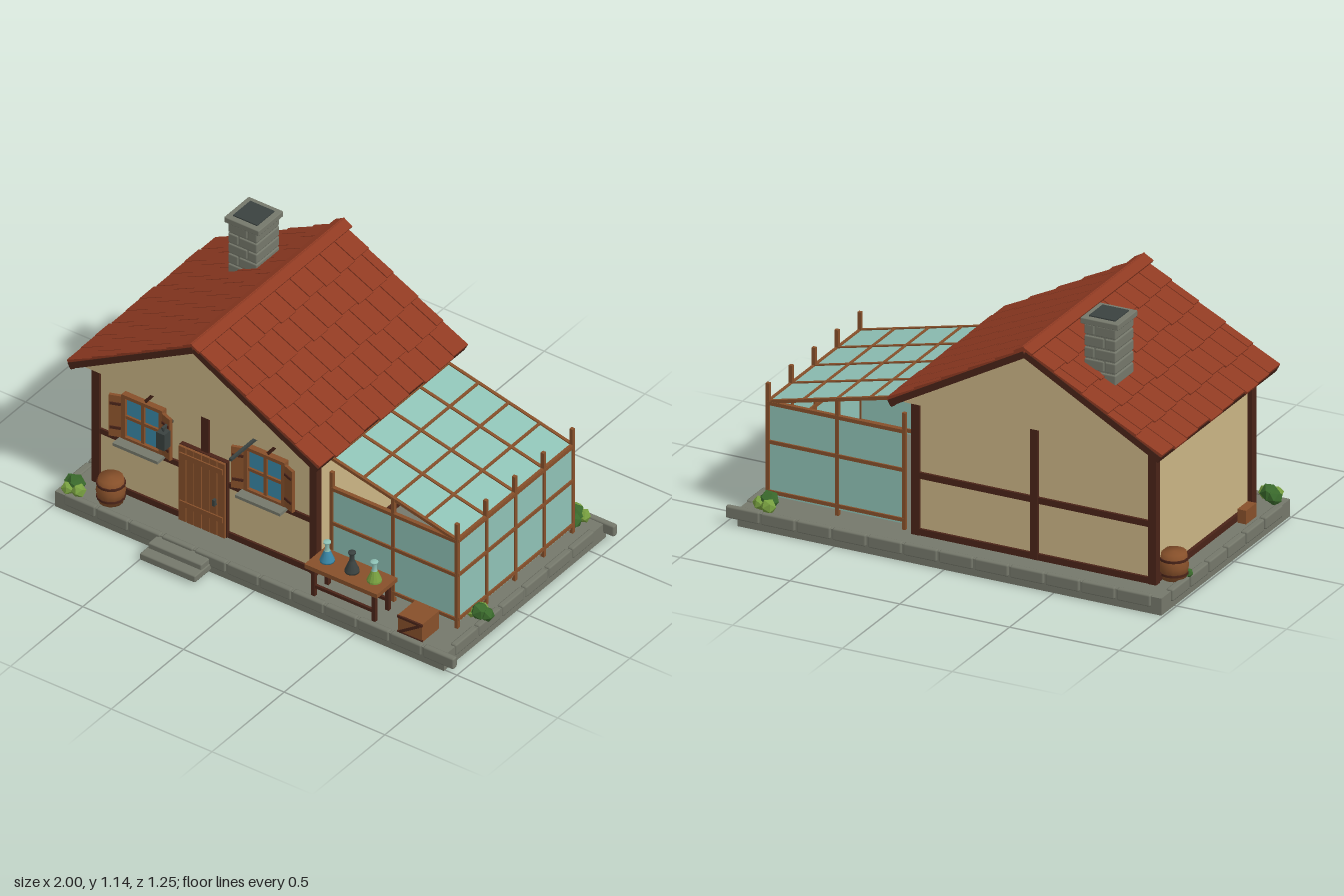
import * as THREE from 'three';
import { RoundedBoxGeometry } from 'three/addons/geometries/RoundedBoxGeometry.js';

const mat = (name, color, opts = {}) => {
  const m = new THREE.MeshStandardMaterial({ color, ...opts });
  m.name = name;
  return m;
};

export function createModel() {
  const tile = mat('roofTile', 0x8f3a22);
  const timber = mat('darkTimber', 0x4a2418);
  const wood = mat('wood', 0x87502a);
  const plaster = mat('plaster', 0xcbb585);
  const stone = mat('stone', 0x75786b);
  const iron = mat('darkIron', 0x3a4240);
  const glass = mat('glass', 0x8fc2b6, { side: THREE.DoubleSide });
  const blue = mat('blue', 0x3a88a8);
  const darkGreen = mat('darkGreen', 0x3a6a2c, { flatShading: true });
  const lightGreen = mat('lightGreen', 0x78a040, { flatShading: true });

  const model = new THREE.Group();
  model.name = 'cottage';
  const group = (name, parent = model) => {
    const g = new THREE.Group();
    g.name = name;
    parent.add(g);
    return g;
  };
  const add = (parent, name, geo, m, x = 0, y = 0, z = 0) => {
    const mesh = new THREE.Mesh(geo, m);
    mesh.name = name;
    mesh.position.set(x, y, z);
    parent.add(mesh);
    return mesh;
  };
  // Box given by its limits; r > 0 softens the edges
  const box = (p, name, m, x0, x1, y0, y1, z0, z1, r = 0) => {
    const s = [x1 - x0, y1 - y0, z1 - z0];
    const geo = r ? new RoundedBoxGeometry(...s, 1, r) : new THREE.BoxGeometry(...s);
    return add(p, name, geo, m, (x0 + x1) / 2, (y0 + y1) / 2, (z0 + z1) / 2);
  };
  // Square bar between two points in an xy plane
  const bar = (p, name, m, x0, y0, x1, y1, z, t, d = t) => {
    const b = add(p, name, new THREE.BoxGeometry(Math.hypot(x1 - x0, y1 - y0), t, d), m, (x0 + x1) / 2, (y0 + y1) / 2, z);
    b.rotation.z = Math.atan2(y1 - y0, x1 - x0);
    return b;
  };

  // Stone base with a border of blocks and two steps
  const base = group('base');
  box(base, 'slab', stone, -0.99, 0.94, 0, 0.075, -0.615, 0.508);
  for (let i = 0; i < 12; i++) {
    const x = -0.943 + i * 0.162;
    box(base, 'frontBlock', stone, x, x + 0.153, 0.03, 0.083, 0.485, 0.515, 0.008);
    box(base, 'backBlock', stone, x, x + 0.153, 0.03, 0.083, -0.625, -0.597, 0.008);
  }
  for (let i = 0; i < 6; i++) {
    const z = 0.43 - i * 0.162;
    box(base, 'rightBlock', stone, 0.915, 0.945, 0.03, 0.083, z - 0.152, z, 0.008);
    box(base, 'leftBlock', stone, -1, -0.967, 0.03, 0.083, z - 0.152, z, 0.008);
  }
  box(base, 'lowerStep', stone, -0.49, -0.215, 0.012, 0.045, 0.49, 0.62, 0.006);
  box(base, 'upperStep', stone, -0.485, -0.22, 0.03, 0.07, 0.47, 0.57, 0.006);

  // House walls and gable
  const RX = -0.353, house = group('house');
  box(house, 'walls', plaster, -0.89, 0.185, 0.07, 0.685, -0.495, 0.35);
  const tri = new THREE.Shape([[-0.56, 0.68], [0.56, 0.68], [0, 1]].map(p => new THREE.Vector2(p[0], p[1])));
  add(house, 'gable', new THREE.ExtrudeGeometry(tri, { depth: 0.99, bevelEnabled: false }), plaster, RX, 0, -0.57);

  // Timber frame
  const frame = group('timberFrame');
  for (const x of [-0.893, 0.187]) for (const z of [0.346, -0.492])
    box(frame, 'cornerPost', timber, x - 0.018, x + 0.018, 0.075, 0.68, z - 0.018, z + 0.018);
  box(frame, 'frontMiddlePost', timber, RX - 0.018, RX + 0.018, 0.45, 0.68, 0.34, 0.36);
  box(frame, 'backMiddlePost', timber, RX - 0.018, RX + 0.018, 0.075, 0.68, -0.508, -0.49);
  for (const [x0, x1] of [[-0.89, -0.46], [-0.24, 0.185]]) {
    box(frame, 'frontRail', timber, x0, x1, 0.325, 0.35, 0.34, 0.36);
    box(frame, 'frontSill', timber, x0, x1, 0.075, 0.103, 0.34, 0.36);
  }
  box(frame, 'frontTopBeam', timber, -0.89, 0.185, 0.662, 0.682, 0.34, 0.36);
  for (const [y, h] of [[0.075, 0.028], [0.325, 0.027], [0.662, 0.02]])
    box(frame, 'backBeam', timber, -0.89, 0.185, y, y + h, -0.507, -0.49);
  for (const x of [-0.893, 0.188])
    box(frame, 'sideSill', timber, x - 0.012, x + 0.012, 0.075, 0.103, -0.49, 0.35);

  // Roof: two slopes of staggered tiles
  const A = Math.atan(0.34 / 0.615), L = 0.703, ROW = L / 5;
  const roof = group('roof');
  roof.position.set(RX, 1.013, -0.075);
  for (const turn of [0, Math.PI]) {
    const side = group('roofSide', roof);
    side.rotation.y = turn;
    const slope = group('slope', side);
    slope.rotation.z = -A;
    box(slope, 'roofBoards', timber, 0, L - 0.005, -0.01, 0.01, -0.51, 0.51);
    for (const z of [-0.512, 0.512])
      box(slope, 'bargeBoard', timber, 0, L, -0.014, 0.014, z - 0.006, z + 0.006);
    box(slope, 'fascia', timber, L - 0.018, L, -0.018, 0.01, -0.515, 0.515);
    for (let r = 0; r < 5; r++) {
      const edges = [-0.517];
      for (let k = 0; k <= 10; k++) {
        const e = -0.517 + k * 0.1034 + (r % 2) * 0.05;
        if (e > -0.5 && e < 0.5) edges.push(e);
      }
      edges.push(0.517);
      for (let k = 0; k + 1 < edges.length; k++) {
        const jut = ((k * 7 + r * 3) % 3) * 0.005;
        const t = box(slope, 'tile', tile, r * ROW - 0.004, (r + 1) * ROW + jut, 0.011, 0.023,
          edges[k] + 0.0025, edges[k + 1] - 0.0025);
        t.rotation.z = 0.05;
        t.rotation.z *= -1;
        t.rotation.z = Math.abs(t.rotation.z);
      }
    }
    const cap = box(slope, 'ridgeTile', tile, -0.022, 0.03, 0.022, 0.034, -0.53, 0.53);
    cap.position.z = 0;
  }

  // Chimney of stone courses
  const chimney = group('chimney');
  chimney.position.set(-0.597, 0, -0.32);
  box(chimney, 'core', stone, -0.066, 0.066, 0.8, 1.11, -0.074, 0.074);
  for (let i = 0; i < 6; i++) {
    const y = 0.81 + i * 0.051, s = i % 2 ? 0.025 : -0.02;
    for (const [x0, x1] of [[-0.072, s - 0.002], [s + 0.002, 0.072]])
      box(chimney, 'course', stone, x0, x1, y, y + 0.046, -0.08, 0.08, 0.006);
  }
  box(chimney, 'cap', stone, -0.086, 0.086, 1.11, 1.137, -0.086, 0.086, 0.004);
  box(chimney, 'flue', iron, -0.06, 0.06, 1.13, 1.142, -0.06, 0.06);

  // Plank door
  const door = group('door');
  box(door, 'doorBack', timber, -0.47, -0.236, 0.08, 0.455, 0.35, 0.37);
  for (let i = 0; i < 6; i++) {
    const x = -0.467 + i * 0.0385;
    box(door, 'plank', wood, x, x + 0.035, 0.083, 0.452, 0.36, 0.382);
  }
  for (const y of [0.16, 0.4]) box(door, 'crossBoard', wood, -0.46, -0.246, y, y + 0.025, 0.375, 0.388);
  box(door, 'handle', iron, -0.29, -0.278, 0.235, 0.265, 0.38, 0.398);

  // Windows with shutters and sills
  for (const cx of [-0.653, -0.045]) {
    const w = group('window');
    w.position.set(cx, 0.472, 0.35);
    box(w, 'pane', blue, -0.095, 0.095, -0.105, 0.105, 0, 0.012);
    for (const s of [-1, 1]) {
      box(w, 'frameSide', wood, s * 0.093 - 0.009, s * 0.093 + 0.009, -0.11, 0.11, 0, 0.028);
      box(w, 'frameRail', wood, -0.1, 0.1, s * 0.104 - 0.008, s * 0.104 + 0.008, 0, 0.028);
      const shutter = group('shutter', w);
      shutter.position.set(s * 0.104, 0, 0.014);
      shutter.rotation.y = -s * 0.35;
      const a = Math.min(0, s * 0.055), b = a + 0.055;
      box(shutter, 'board', wood, a, b, -0.105, 0.1, 0, 0.014);
      for (const y of [-0.065, 0.055]) box(shutter, 'batten', timber, a + 0.004, b - 0.004, y, y + 0.012, 0, 0.019);
    }
    box(w, 'mullion', wood, -0.007, 0.007, -0.1, 0.1, 0, 0.022);
    box(w, 'transom', wood, -0.09, 0.09, -0.007, 0.007, 0, 0.022);
    box(w, 'sill', stone, -0.112, 0.112, -0.122, -0.108, 0, 0.075);
    bar(w, 'brace', timber, 0.01, 0.115, 0.068, 0.19, 0.012, 0.014);
  }

  // Wall lantern and sign rod
  const lantern = group('lantern');
  box(lantern, 'bracket', iron, -0.526, -0.514, 0.53, 0.54, 0.35, 0.42);
  box(lantern, 'lanternBody', iron, -0.54, -0.5, 0.44, 0.52, 0.392, 0.435);
  box(lantern, 'hook', iron, -0.524, -0.516, 0.515, 0.535, 0.408, 0.416);
  box(model, 'signRod', iron, -0.107, -0.095, 0.622, 0.634, 0.35, 0.535);

  // Greenhouse
  const gh = group('greenhouse');
  const X0 = 0.25, X1 = 0.87, ZF = 0.318, ZB = -0.48;
  const roofY = x => 0.66 - (x - 0.24) * 0.235;
  for (const z of [ZF, ZB]) {
    box(gh, 'endGlass', glass, X0, X1, 0.1, 0.51, z - 0.002, z + 0.002);
    for (const y of [0.118, 0.338, 0.508]) box(gh, 'endRail', wood, X0, X1, y - 0.008, y + 0.008, z - 0.009, z + 0.009);
    for (const x of [X0, 0.555]) box(gh, 'endPost', wood, x - 0.008, x + 0.008, 0.07, 0.59, z - 0.008, z + 0.008);
  }
  box(gh, 'sideGlass', glass, X1 - 0.002, X1 + 0.002, 0.1, 0.51, ZB, ZF);
  for (const y of [0.118, 0.338, 0.508]) box(gh, 'sideRail', wood, X1 - 0.009, X1 + 0.009, y - 0.008, y + 0.008, ZB, ZF);
  for (let i = 0; i < 5; i++) {
    const z = ZF + (ZB - ZF) * i / 4;
    box(gh, 'sidePost', wood, X1 - 0.008, X1 + 0.008, 0.07, 0.595, z - 0.008, z + 0.008);
    bar(gh, 'rafter', wood, 0.2, roofY(0.2), X1, roofY(X1), z, 0.014);
  }
  bar(gh, 'roofGlass', glass, 0.2, roofY(0.2), X1, roofY(X1), (ZF + ZB) / 2, 0.004, ZF - ZB);
  for (const x of [0.255, 0.405, 0.555, 0.71, X1]) box(gh, 'purlin', wood, x - 0.006, x + 0.006, roofY(x) - 0.007, roofY(x) + 0.007, ZB, ZF);

  // Table with three flasks
  const table = group('table');
  box(table, 'tableTop', wood, 0.24, 0.6, 0.21, 0.23, 0.355, 0.497);
  for (const x of [0.262, 0.562]) for (const z of [0.37, 0.465])
    box(table, 'tableLeg', timber, x, x + 0.018, 0.075, 0.21, z, z + 0.018);
  for (const z of [0.372, 0.467]) box(table, 'stretcher', timber, 0.27, 0.57, 0.115, 0.13, z, z + 0.012);
  const v = pts => pts.map(p => new THREE.Vector2(p[0], p[1]));
  const flaskBody = new THREE.LatheGeometry(v([[0, 0], [0.031, 0], [0.031, 0.008], [0.013, 0.052]]), 12);
  const flaskNeck = new THREE.LatheGeometry(v([[0.013, 0.052], [0.01, 0.06], [0.01, 0.088], [0.016, 0.09], [0.016, 0.097], [0, 0.097]]), 12);
  [[0.302, blue], [0.425, iron], [0.536, lightGreen]].forEach(([x, m]) => {
    const f = group('flask', table);
    f.position.set(x, 0.23, 0.425);
    add(f, 'flaskBody', flaskBody, m);
    add(f, 'flaskNeck', flaskNeck, m === iron ? iron : glass);
  });

  // Crates
  const crate = group('crate');
  box(crate, 'crateBox', wood, 0.695, 0.815, 0.075, 0.163, 0.368, 0.485);
  bar(crate, 'crateBrace', timber, 0.705, 0.085, 0.805, 0.153, 0.486, 0.012, 0.008);
  for (const y of [0.075, 0.152]) box(crate, 'crateEdge', timber, 0.693, 0.817, y, y + 0.011, 0.48, 0.489);
  box(model, 'sideBox', wood, -0.95, -0.91, 0.075, 0.135, 0.2, 0.29);

  // Barrels
  const barrelGeo = new THREE.LatheGeometry(v([[0, 0], [0.052, 0], [0.062, 0.055], [0.052, 0.115], [0, 0.115]]), 14);
  for (const [x, z] of [[-0.772, 0.425], [-0.935, -0.4]]) {
    const b = group('barrel');
    b.position.set(x, 0.075, z);
    add(b, 'barrelBody', barrelGeo, wood);
    for (const y of [0.025, 0.088]) add(b, 'hoop', new THREE.CylinderGeometry(0.061, 0.061, 0.01, 14), timber, 0, y, 0);
  }

  // Bushes of faceted clumps
  const clump = new THREE.IcosahedronGeometry(1, 0);
  [[-0.925, 0.455, 1], [-0.97, -0.38, 0.6], [0.83, -0.55, 1.05], [0.905, 0.21, 0.95]].forEach(([x, z, s], n) => {
    const b = group('bush');
    b.position.set(x, 0.075, z);
    b.scale.setScalar(s);
    b.rotation.y = n * 1.3;
    [[0, 0.035, 0, 0.042, darkGreen], [0.03, 0.025, 0.022, 0.032, lightGreen], [-0.03, 0.025, -0.015, 0.034, darkGreen],
      [-0.016, 0.025, 0.032, 0.03, lightGreen]].forEach(([cx, cy, cz, r, m], i) => {
      const c = add(b, 'leafClump', clump, m, cx, cy, cz);
      c.scale.setScalar(r);
      c.rotation.set(i, i * 2, 0);
    });
  });

  return model;
}
